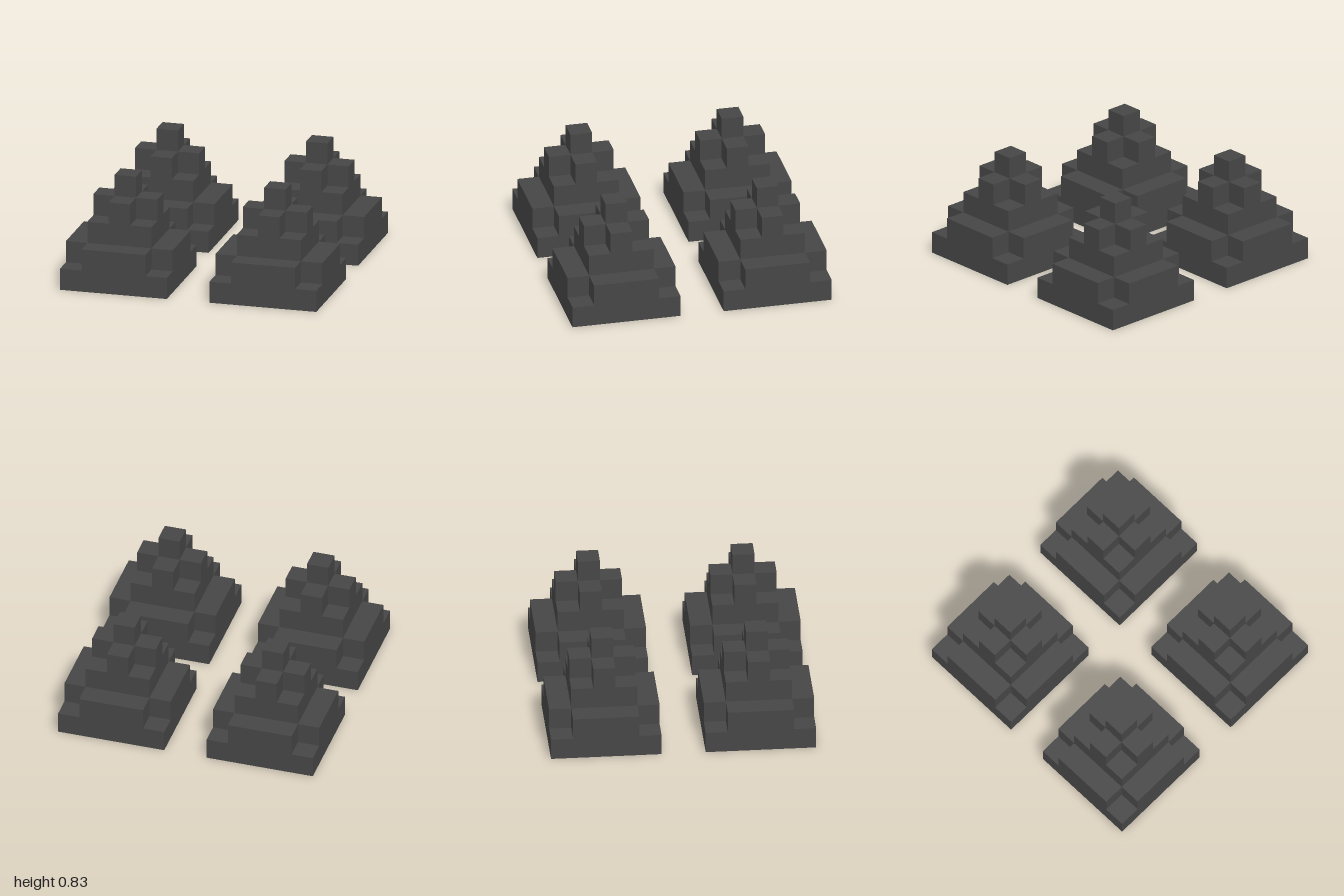
import * as THREE from 'three';

const U = 1 / 6; // one block

// Square slab, n blocks wide, one block high, base at y = 0
function squareTier(n) {
  return new THREE.BoxGeometry(n * U, U, n * U).translate(0, U / 2, 0);
}

// Square slab, n blocks wide, with a one-block notch cut from each corner
function crossTier(n) {
  const a = (n * U) / 2, b = a - U;
  const shape = new THREE.Shape([
    [-b, -a], [b, -a], [b, -b], [a, -b], [a, b], [b, b],
    [b, a], [-b, a], [-b, b], [-a, b], [-a, -b], [-b, -b],
  ].map(([x, y]) => new THREE.Vector2(x, y)));
  return new THREE.ExtrudeGeometry(shape, { depth: U, bevelEnabled: false }).rotateX(-Math.PI / 2);
}

export function createModel() {
  const model = new THREE.Group();
  model.name = 'steppedPyramids';
  const darkStone = new THREE.MeshStandardMaterial({ color: 0x464646 });
  darkStone.name = 'darkStone';

  // Tiers from the ground up
  const tiers = [
    ['baseSlab', squareTier(5)],
    ['lowerCross', crossTier(5)],
    ['middleSlab', squareTier(3)],
    ['upperCross', crossTier(3)],
    ['topBlock', squareTier(1)],
  ];

  // Four matching pyramids, one in each quadrant
  for (const sx of [-1, 1]) {
    for (const sz of [-1, 1]) {
      const pyramid = new THREE.Group();
      pyramid.name = `${sz > 0 ? 'front' : 'back'}${sx > 0 ? 'Left' : 'Right'}Pyramid`;
      tiers.forEach(([name, geometry], i) => {
        const tier = new THREE.Mesh(geometry, darkStone);
        tier.name = name;
        tier.position.y = i * U;
        pyramid.add(tier);
      });
      pyramid.position.set(sx * 3.5 * U, 0, sz * 3.5 * U);
      model.add(pyramid);
    }
  }
  return model;
}
